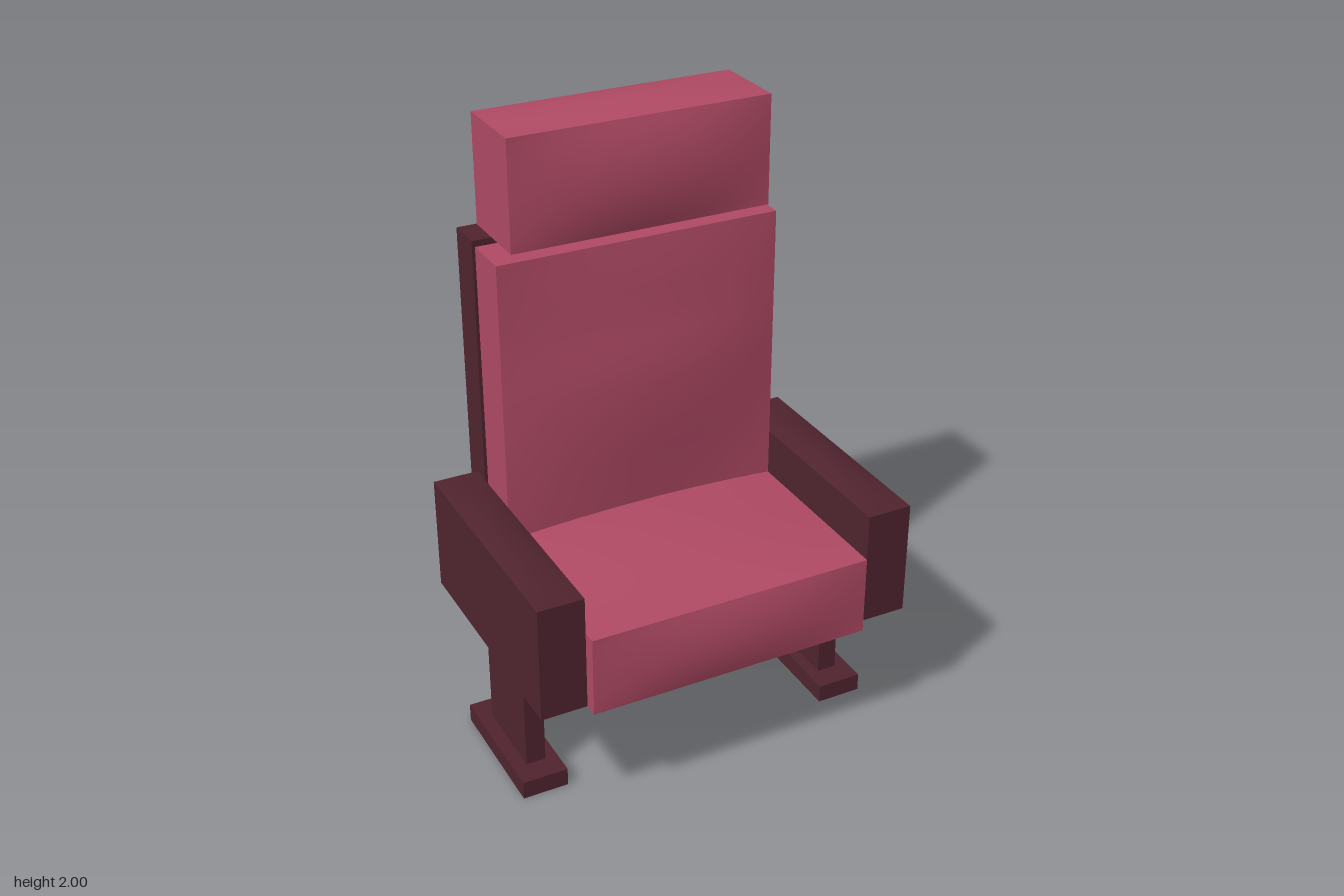
import * as THREE from 'three';

const upholstery = new THREE.MeshStandardMaterial({ color: 0xb04a64 });
upholstery.name = 'rose upholstery';
const frame = new THREE.MeshStandardMaterial({ color: 0x50242f });
frame.name = 'dark maroon frame';

const dome = (u, v) => (1 - u * u) * (1 - v * v);

// Lumbar bulge of the back cushion: [height, depth], eased across the width
const lumbar = [[0.66, 0], [0.83, 0.016], [1.0, 0.033], [1.18, 0.04], [1.35, 0.02], [1.48, 0.014], [1.6, 0]];
function lumbarDepth(y) {
  for (let i = 1; i < lumbar.length; i++) {
    const [y0, d0] = lumbar[i - 1], [y1, d1] = lumbar[i];
    if (y <= y1) return THREE.MathUtils.mapLinear(y, y0, y1, d0, d1);
  }
  return 0;
}

// Box between two corners whose top and front faces can swell outwards
function paddedBox(name, material, min, max, top = 0, front = 0, frontRule = null) {
  const size = max.map((v, i) => v - min[i]);
  const soft = top || front || frontRule;
  const geometry = new THREE.BoxGeometry(...size, ...(soft ? [12, 12, 8] : [1, 1, 1]));
  const pos = geometry.attributes.position, normal = geometry.attributes.normal;
  const centre = max.map((v, i) => (v + min[i]) / 2);
  if (soft) {
    for (let i = 0; i < pos.count; i++) {
      const u = pos.getX(i) / size[0] * 2, v = pos.getY(i) / size[1] * 2, w = pos.getZ(i) / size[2] * 2;
      if (normal.getY(i) > 0.5) pos.setY(i, pos.getY(i) + top * dome(u, w));
      else if (normal.getZ(i) > 0.5) {
        const swell = frontRule ? frontRule(pos.getY(i) + centre[1]) * (1 - u * u) : front * dome(u, v);
        pos.setZ(i, pos.getZ(i) + swell);
      }
    }
    geometry.computeVertexNormals();
  }
  const mesh = new THREE.Mesh(geometry, material);
  mesh.position.set(...centre);
  mesh.name = name;
  return mesh;
}

export function createModel() {
  const chair = new THREE.Group();
  chair.name = 'theatreSeat';

  // Upholstered cushions
  chair.add(
    paddedBox('headrest', upholstery, [-0.42, 1.635, -0.41], [0.42, 1.98, -0.153], 0.02, 0.03),
    paddedBox('backCushion', upholstery, [-0.46, 0.66, -0.33], [0.46, 1.6, -0.172], 0, 0, lumbarDepth),
    paddedBox('seatCushion', upholstery, [-0.46, 0.422, -0.345], [0.46, 0.682, 0.428], 0.03, 0.02),
  );

  // Shell behind the back cushion
  chair.add(paddedBox('backShell', frame, [-0.47, 0.622, -0.448], [0.47, 1.62, -0.33]));

  // Armrest, leg and foot on each side
  for (const [side, s] of [['left', 1], ['right', -1]]) {
    const group = new THREE.Group();
    group.name = side + 'Support';
    const part = (name, x0, x1, y0, y1, z0, z1, top) => group.add(paddedBox(name, frame,
      [Math.min(s * x0, s * x1), y0, z0], [Math.max(s * x0, s * x1), y1, z1], top));
    part('armrest', 0.472, 0.618, 0.445, 0.82, -0.388, 0.41, 0.015);
    part('leg', 0.496, 0.56, 0.06, 0.445, -0.147, 0.132);
    part('foot', 0.456, 0.605, 0, 0.06, -0.228, 0.21);
    chair.add(group);
  }

  // Round bar under the seat joining the legs
  const bar = new THREE.Mesh(new THREE.CylinderGeometry(0.0375, 0.0375, 0.996, 24), frame);
  bar.name = 'crossBar';
  bar.rotation.z = Math.PI / 2;
  bar.position.set(0, 0.384, -0.109);
  chair.add(bar);

  return chair;
}
